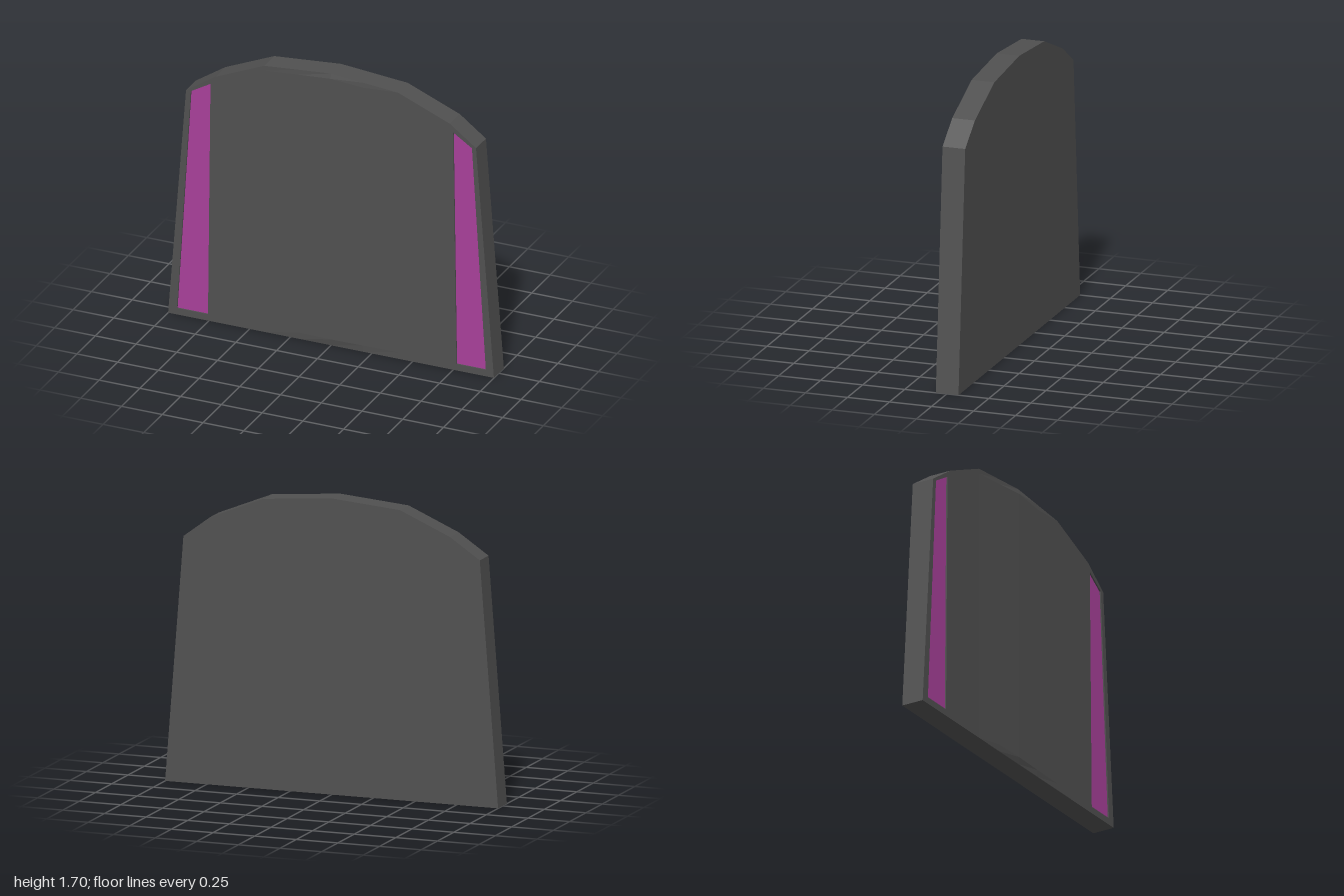
import * as THREE from 'three';

const BACK = -0.07, FLOOR = 0.055, FRONT = 0.065;

const outline = [[-1, 0], [1, 0], [0.89, 1.41], [0.73, 1.53], [0.41, 1.66],
  [0, 1.695], [-0.41, 1.66], [-0.71, 1.53], [-0.89, 1.41]];
const rightPocket = [[-0.945, 0.04], [-0.755, 0.04], [-0.74, 1.48], [-0.86, 1.41]];
const leftPocket = [[0.77, 0.04], [0.95, 0.04], [0.865, 1.405], [0.75, 1.48]];

const toPoints = (list) => list.map(([x, y]) => new THREE.Vector2(x, y));

function slab(shape, z0, z1) {
  const g = new THREE.ExtrudeGeometry(shape, { depth: z1 - z0, bevelEnabled: false });
  return g.translate(0, 0, z0);
}

// Shallow swelling over the middle of the front, fading out at its borders
function swellGeometry() {
  const columns = [[-0.41, 1.66, 0], [-0.2, 1.678, 0.002], [0, 1.695, 0.007],
    [0.2, 1.678, 0.003], [0.41, 1.66, 0]];
  const pos = [], index = [];
  for (const [x, top, rise] of columns) {
    pos.push(x, 0, FRONT, x, 0.04, FRONT + rise, x, top - 0.03, FRONT + rise, x, top, FRONT);
  }
  for (let c = 0; c < columns.length - 1; c++) {
    for (let r = 0; r < 3; r++) {
      const a = c * 4 + r, b = a + 4;
      index.push(a, b, b + 1, a, b + 1, a + 1);
    }
  }
  const g = new THREE.BufferGeometry();
  g.setAttribute('position', new THREE.Float32BufferAttribute(pos, 3));
  g.setIndex(index);
  g.computeVertexNormals();
  return g;
}

export function createModel() {
  const group = new THREE.Group();
  const dark = new THREE.MeshStandardMaterial({ color: 0x505050, flatShading: true });
  const purple = new THREE.MeshStandardMaterial({ color: 0xa8409a, flatShading: true });
  const add = (name, geometry, material) => {
    const mesh = new THREE.Mesh(geometry, material);
    mesh.name = name;
    group.add(mesh);
  };

  // Arched slab
  add('slab', slab(new THREE.Shape(toPoints(outline)), BACK, FLOOR), dark);

  // Front layer with two pockets cut through
  const face = new THREE.Shape(toPoints(outline));
  for (const pocket of [rightPocket, leftPocket]) face.holes.push(new THREE.Path(toPoints(pocket)));
  add('frontFace', slab(face, FLOOR, FRONT), dark);
  add('frontSwell', swellGeometry(), dark);

  // Coloured strips sunk in the pockets
  for (const [name, pocket] of [['rightStrip', rightPocket], ['leftStrip', leftPocket]]) {
    const strip = new THREE.ShapeGeometry(new THREE.Shape(toPoints(pocket)));
    add(name, strip.translate(0, 0, FLOOR + 0.002), purple);
  }
  return group;
}
